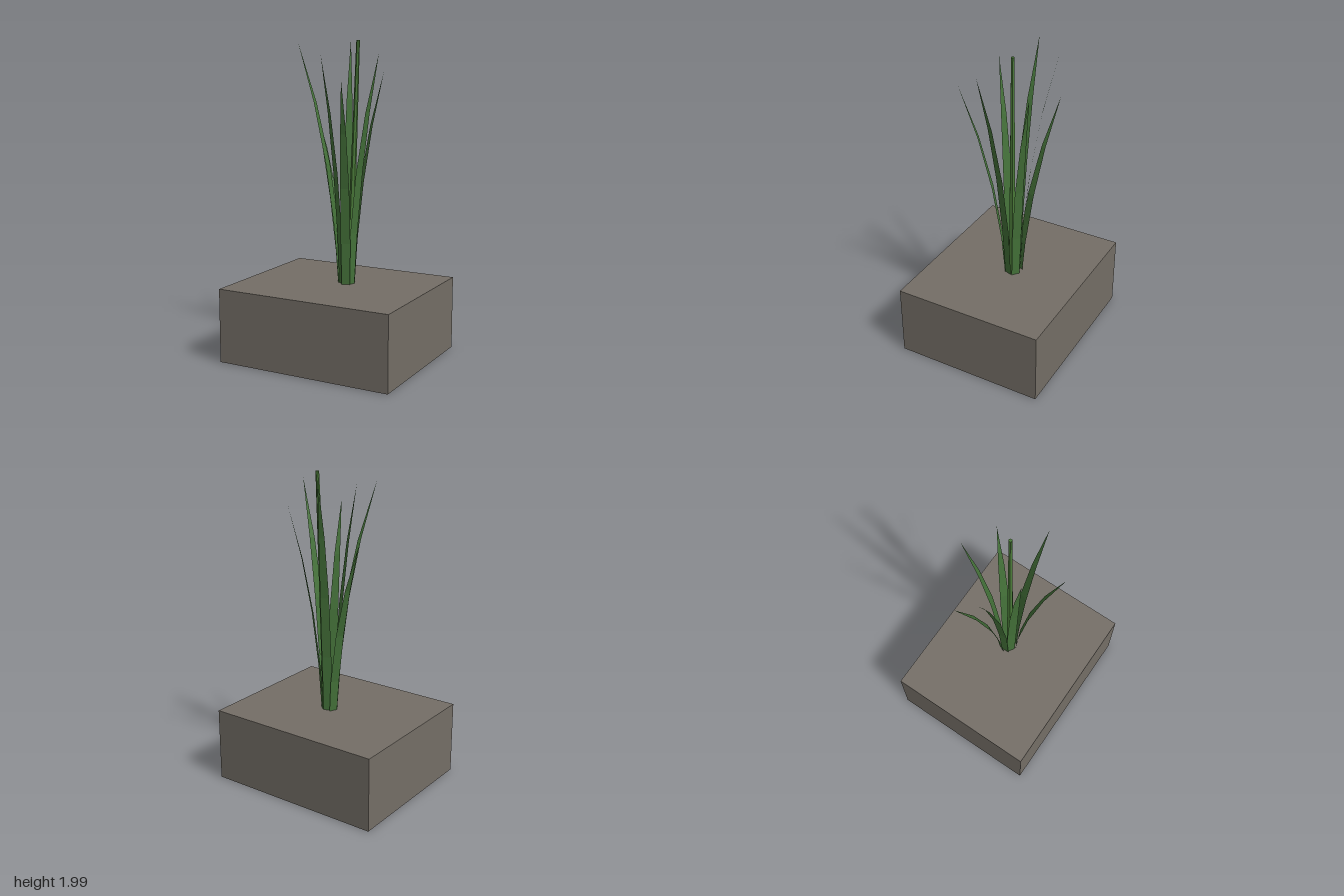
import * as THREE from 'three';

const CENTRE = new THREE.Vector3(0.04, 0, -0.03);

function material(color, side = THREE.FrontSide) {
  return new THREE.MeshStandardMaterial({ color, side, flatShading: true });
}

// Flat tapering leaf that bends outward from the clump to its tip
function bladeGeometry(tip) {
  const out = new THREE.Vector3(tip.x - CENTRE.x, 0, tip.z - CENTRE.z).normalize();
  const across = new THREE.Vector3(-out.z, 0, out.x);
  const base = CENTRE.clone().addScaledVector(out, 0.032);
  const widths = [0.04, 0.05, 0.06, 0.055, 0.036, 0];
  const last = widths.length - 1;
  const positions = [];
  const index = [];
  widths.forEach((width, i) => {
    const t = i / last;
    const height = tip.y * (1.08 * t - 0.08 * t * t);
    const p = base.clone().lerp(tip, Math.pow(t, 2.2)).setY(height);
    for (const s of [-0.5, 0.5]) {
      positions.push(...p.clone().addScaledVector(across, s * width).toArray());
    }
    if (i < last) {
      const a = i * 2;
      index.push(a, a + 2, a + 1);
      if (i < last - 1) index.push(a + 1, a + 2, a + 3);
    }
  });
  const geometry = new THREE.BufferGeometry();
  geometry.setAttribute('position', new THREE.Float32BufferAttribute(positions, 3));
  geometry.setIndex(index);
  geometry.computeVertexNormals();
  return geometry;
}

export function createModel() {
  const model = new THREE.Group();
  const add = (name, geometry, mat) => {
    const mesh = new THREE.Mesh(geometry, mat);
    mesh.name = name;
    model.add(mesh);
    return mesh;
  };

  // Ground block
  add('groundBlock', new THREE.BoxGeometry(1.156, 0.469, 0.968), material(0x746e66))
    .position.set(0, 0.2365, 0);

  // Dark patch on the underside
  const patch = new THREE.Shape([
    [0.4, 0.125], [0.554, -0.19], [0.494, -0.47], [0.24, -0.4], [0.168, 0.02],
  ].map(([x, z]) => new THREE.Vector2(x, z)));
  add('undersidePatch', new THREE.ShapeGeometry(patch), material(0x56514a, THREE.DoubleSide))
    .rotation.x = Math.PI / 2;

  // Central stem, leaning slightly
  const stemHeight = 1.985;
  const stem = new THREE.CylinderGeometry(0.011, 0.028, stemHeight, 6);
  stem.translate(0, stemHeight / 2, 0);
  const pos = stem.attributes.position;
  for (let i = 0; i < pos.count; i++) {
    const t = pos.getY(i) / stemHeight;
    pos.setX(i, pos.getX(i) + 0.045 + 0.055 * t);
    pos.setZ(i, pos.getZ(i) - 0.025 - 0.035 * t);
  }
  stem.computeVertexNormals();
  add('stem', stem, material(0x4a7a38));

  // Leaf blades, one for each tip
  const leaf = material(0x45733a, THREE.DoubleSide);
  const tips = [
    [-0.06, 1.99, -0.27], [0.2, 1.8, -0.22], [0.3, 1.91, 0.06], [0.16, 1.76, 0.27],
    [-0.06, 1.9, 0.12], [-0.3, 1.97, -0.02], [-0.285, 1.61, -0.18],
  ];
  tips.forEach((tip, i) => {
    add(`leafBlade${i + 1}`, bladeGeometry(new THREE.Vector3(...tip)), leaf);
  });

  return model;
}
